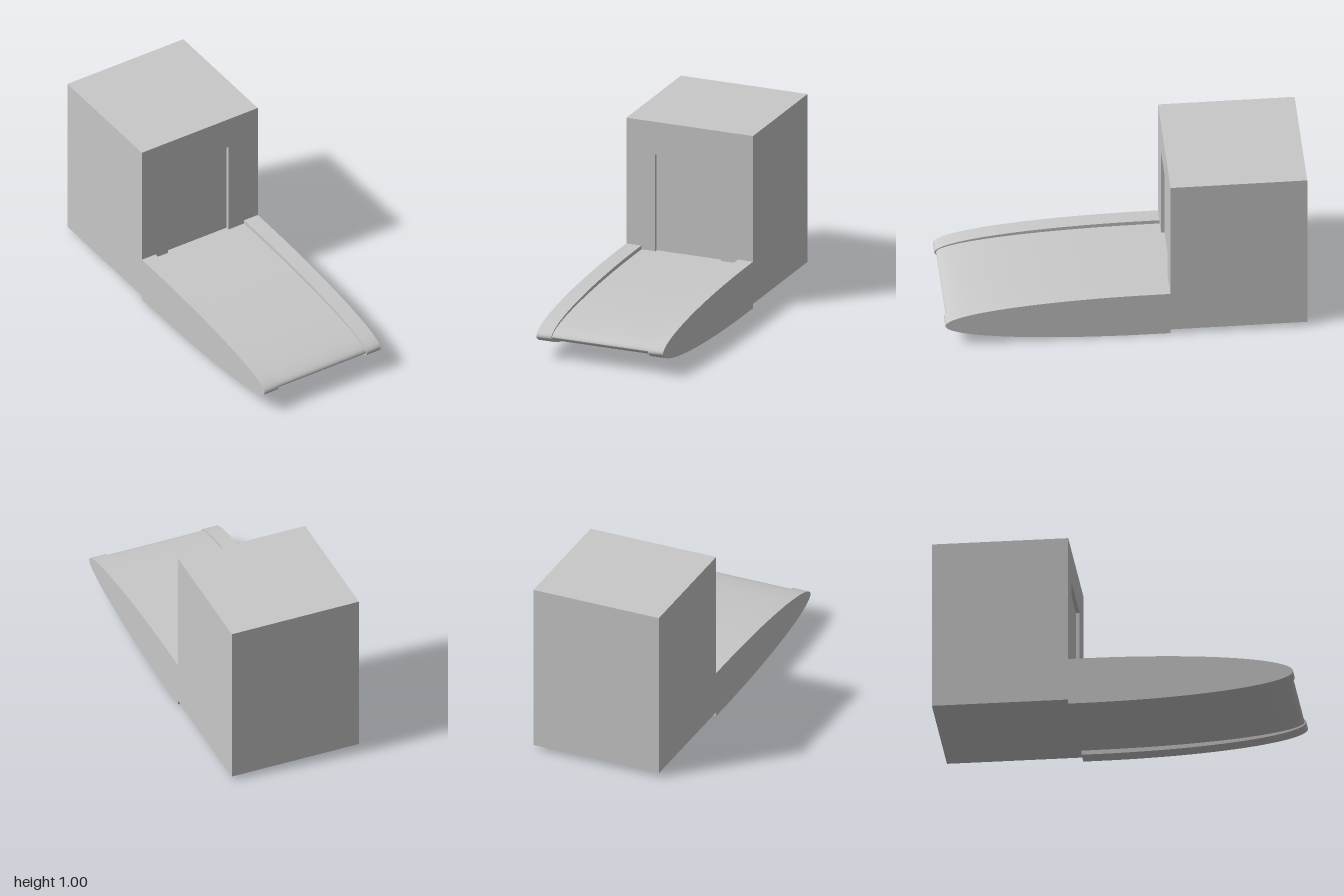
import * as THREE from 'three';
import { toCreasedNormals } from 'three/addons/utils/BufferGeometryUtils.js';

const WALL = -0.245; // z of the block's front wall

// Half-ellipse nose profile, extruded along x from x0 to x1
function noseGeometry(x0, x1, bottom, top, tip) {
  const centre = -0.15, mid = (top + bottom) / 2, half = (top - bottom) / 2;
  const shape = new THREE.Shape();
  shape.moveTo(WALL, bottom);
  const steps = 48;
  for (let i = 0; i <= steps; i++) {
    const a = -Math.PI / 2 + (Math.PI * i) / steps;
    shape.lineTo(centre + (tip - centre) * Math.cos(a), mid + half * Math.sin(a));
  }
  shape.lineTo(WALL, top);
  shape.closePath();
  const g = new THREE.ExtrudeGeometry(shape, { depth: x1 - x0, bevelEnabled: false });
  g.rotateY(-Math.PI / 2); // profile x -> z, depth -> -x
  g.translate(x1, 0, 0);
  return toCreasedNormals(g, 0.6);
}

export function createModel() {
  const group = new THREE.Group();
  const grey = new THREE.MeshStandardMaterial({ color: 0xc8c8c8 });
  grey.name = 'plain grey';
  const add = (name, geometry) => {
    const mesh = new THREE.Mesh(geometry, grey);
    mesh.name = name;
    group.add(mesh);
    return mesh;
  };

  // Tall rear block behind the doorway recess
  const recess = 0.02, bottom = 0.025, top = 1.005, w = 0.38;
  const depth = 1 + WALL - recess;
  add('rearBlock', new THREE.BoxGeometry(2 * w, top - bottom, depth))
    .position.set(0, (top + bottom) / 2, -1 + depth / 2);

  // Front wall with a shallow doorway cut through it
  const wall = new THREE.Shape();
  wall.moveTo(-w, bottom).lineTo(w, bottom).lineTo(w, top).lineTo(-w, top).closePath();
  const door = new THREE.Path();
  door.moveTo(-0.207, 0.249).lineTo(-0.207, 0.815).lineTo(0.188, 0.815).lineTo(0.188, 0.249).closePath();
  wall.holes.push(door);
  add('doorwayWall', new THREE.ExtrudeGeometry(wall, { depth: recess, bevelEnabled: false }))
    .position.z = WALL - recess;

  // Curved ramp between two slightly taller side rails
  add('ramp', noseGeometry(-0.29, 0.29, 0.025, 0.249, 0.99));
  add('rightRail', noseGeometry(-w, -0.29, 0, 0.271, 1));
  add('leftRail', noseGeometry(0.29, w, 0, 0.271, 1));
  return group;
}
